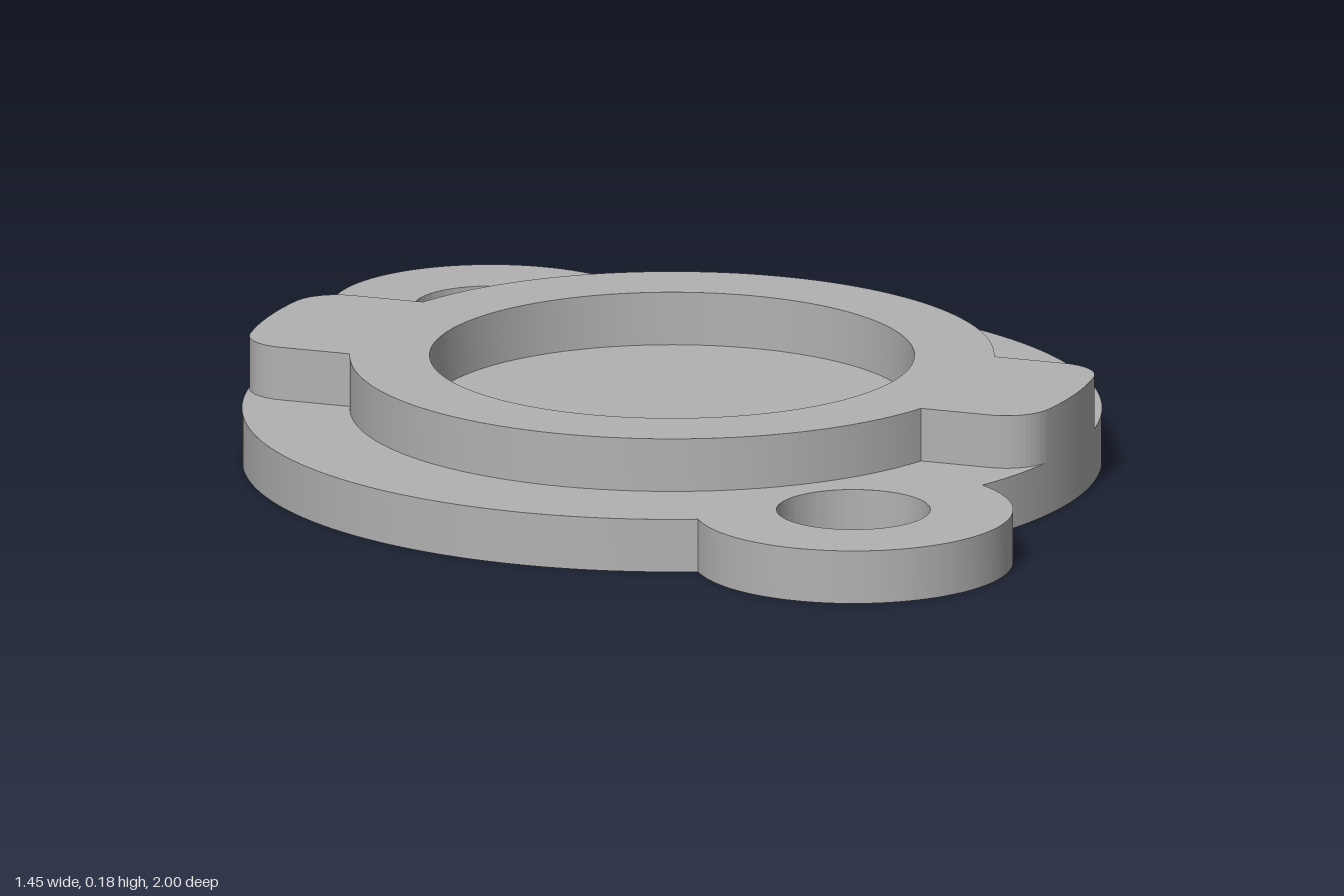
import * as THREE from 'three';
import { toCreasedNormals } from 'three/addons/utils/BufferGeometryUtils.js';

const PLATE_R = 0.727, EAR_R = 0.27, EAR_Z = 0.73, BOLT_R = 0.13;
const RING_R = 0.545, BORE_R = 0.41, TAB_HALF = 0.18, TAB_FILLET = 0.08;
const PLATE_TOP = 0.092, RING_TOP = 0.184;

function hole(x, y, r) {
  return new THREE.Path().absarc(x, y, r, 0, Math.PI * 2, true);
}

// Extrudes a plan outline (shape y becomes z) between two heights
function slab(shape, bottom, top) {
  const geo = new THREE.ExtrudeGeometry(shape, { depth: top - bottom, bevelEnabled: false, curveSegments: 64 });
  geo.rotateX(Math.PI / 2).translate(0, top, 0);
  return toCreasedNormals(geo, 0.4);
}

// Round plate with a bolt ear at each end
function plateShape() {
  const meetZ = (PLATE_R ** 2 + EAR_Z ** 2 - EAR_R ** 2) / (2 * EAR_Z);
  const a = Math.acos(meetZ / PLATE_R);
  const b = Math.asin((EAR_Z - meetZ) / EAR_R);
  const shape = new THREE.Shape();
  for (const side of [0, Math.PI]) {
    const s = side ? -1 : 1;
    shape.absarc(0, 0, PLATE_R, side - Math.PI / 2 + a, side + Math.PI / 2 - a);
    shape.absarc(0, s * EAR_Z, EAR_R, side - b, side + Math.PI + b);
    shape.holes.push(hole(0, s * EAR_Z, BOLT_R));
  }
  shape.closePath();
  return shape;
}

// Raised ring with two round-cornered tabs on the diagonal
function ringShape() {
  const root = Math.asin(TAB_HALF / RING_R);
  const reach = PLATE_R - TAB_FILLET;
  const tip = Math.asin((TAB_HALF - TAB_FILLET) / reach);
  const shape = new THREE.Shape();
  for (const t of [Math.PI / 4, Math.PI * 5 / 4]) {
    const corner = (angle, from, to) => shape.absarc(
      reach * Math.cos(t + angle), reach * Math.sin(t + angle), TAB_FILLET, t + from, t + to);
    corner(-tip, -Math.PI / 2, -tip);
    shape.absarc(0, 0, PLATE_R, t - tip, t + tip);
    corner(tip, tip, Math.PI / 2);
    shape.absarc(0, 0, RING_R, t + root, t + Math.PI - root);
  }
  shape.closePath();
  shape.holes.push(hole(0, 0, BORE_R));
  return shape;
}

export function createModel() {
  const group = new THREE.Group();
  group.name = 'flangeCover';
  const grey = new THREE.MeshStandardMaterial({ color: 0xb2b2b2 });
  grey.name = 'grey';

  const plate = new THREE.Mesh(slab(plateShape(), 0, PLATE_TOP), grey);
  plate.name = 'basePlate';
  const ring = new THREE.Mesh(slab(ringShape(), PLATE_TOP, RING_TOP), grey);
  ring.name = 'tabbedRing';
  group.add(plate, ring);
  return group;
}
